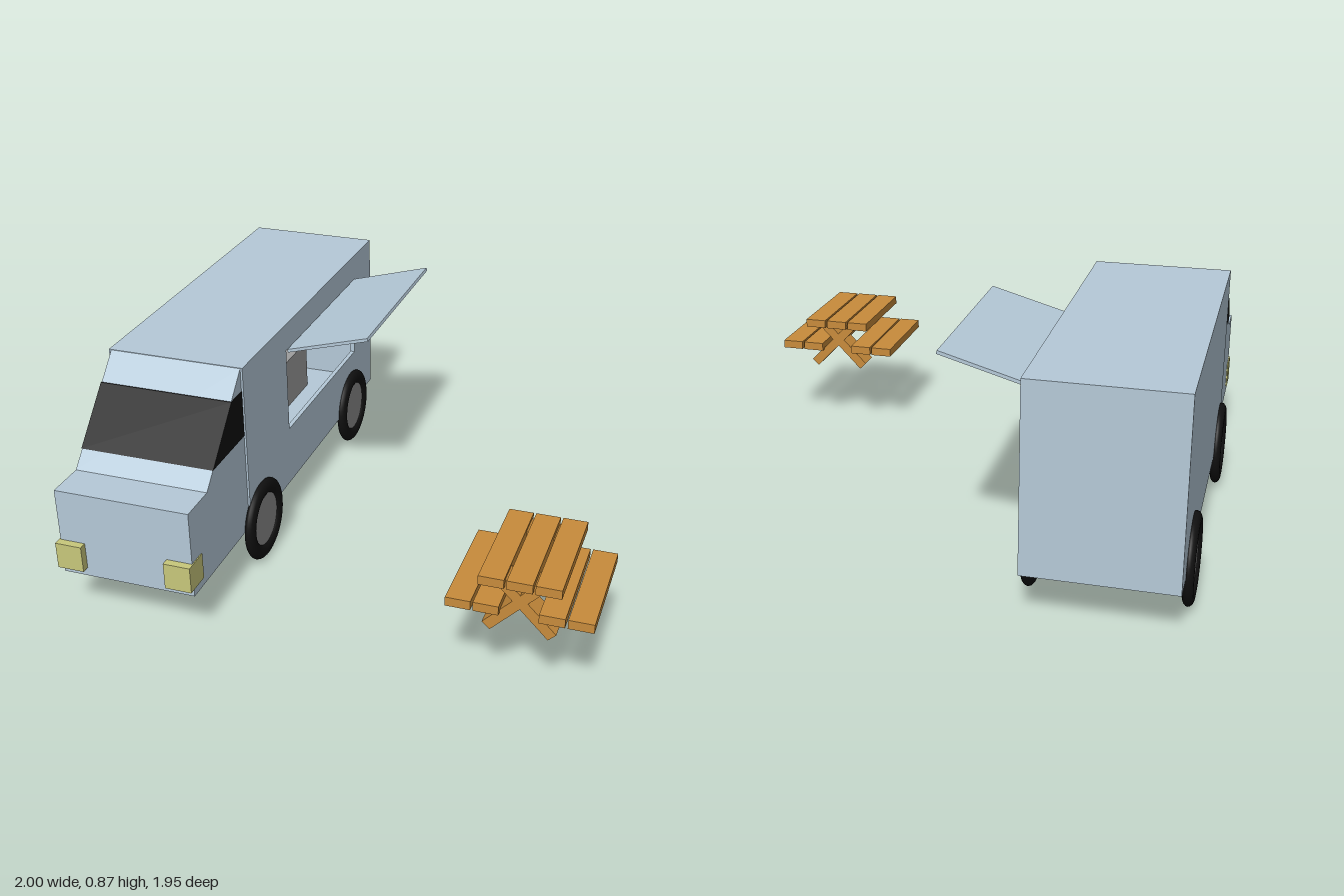
import * as THREE from 'three';

const mat = (color) => new THREE.MeshStandardMaterial({ color, flatShading: true });
const paint = mat(0xb6cad9), black = mat(0x101010), wood = mat(0xc98c3c);
const lampMat = mat(0xc9c87c), steel = mat(0x9e9e9e);
const rubber = new THREE.MeshStandardMaterial({ color: 0x101010 });
const hubMat = new THREE.MeshStandardMaterial({ color: 0x8a8a8a });

function add(parent, name, geometry, material) {
  const mesh = new THREE.Mesh(geometry, material);
  mesh.name = name;
  parent.add(mesh);
  return mesh;
}

// Box given by its limits on each axis
function box(parent, name, material, x0, x1, y0, y1, z0, z1) {
  const mesh = add(parent, name, new THREE.BoxGeometry(x1 - x0, y1 - y0, z1 - z0), material);
  mesh.position.set((x0 + x1) / 2, (y0 + y1) / 2, (z0 + z1) / 2);
  return mesh;
}

// Side profile of [z, y] points, extruded across x
function sideExtrude(parent, name, material, points, x0, x1, hole) {
  const toV = (p) => new THREE.Vector2(p[0], p[1]);
  const shape = new THREE.Shape(points.map(toV));
  if (hole) shape.holes.push(new THREE.Path(hole.map(toV)));
  const geo = new THREE.ExtrudeGeometry(shape, { depth: x1 - x0, bevelEnabled: false });
  geo.rotateY(-Math.PI / 2).translate(x1, 0, 0);
  return add(parent, name, geo, material);
}

const rect = (z0, z1, y0, y1) => [[z0, y0], [z1, y0], [z1, y1], [z0, y1]];

function buildBody() {
  const g = new THREE.Group();
  g.name = 'body';
  const L = -0.973, R = -0.427, B = -0.975, F = 0.455, lo = 0.172, hi = 0.875, t = 0.018;
  box(g, 'floor', paint, L, R, lo, lo + t, B, F);
  box(g, 'roof', paint, L, R, hi - t, hi, B, F);
  box(g, 'leftWall', paint, L, L + t, lo + t, hi - t, B, F);
  box(g, 'backWall', paint, L + t, R - t, lo + t, hi - t, B, B + t);
  box(g, 'frontWall', paint, L + t, R - t, lo + t, hi - t, F - t, F);
  // Serving side with its hatch opening
  sideExtrude(g, 'servingWall', paint, rect(B, F, lo + t, hi - t), R - t, R,
    rect(-0.75, 0.04, 0.415, 0.765));
  // Raised hatch
  const x0 = -0.422, y0 = 0.763, x1 = -0.087, y1 = 0.857;
  const awning = add(g, 'awning',
    new THREE.BoxGeometry(Math.hypot(x1 - x0, y1 - y0), 0.013, 0.79), paint);
  awning.position.set((x0 + x1) / 2, (y0 + y1) / 2, -0.358);
  awning.rotation.z = Math.atan2(y1 - y0, x1 - x0);
  return g;
}

function buildCab() {
  const g = new THREE.Group();
  g.name = 'cab';
  sideExtrude(g, 'cabShell', paint,
    [[0.455, 0.19], [0.945, 0.19], [0.945, 0.535], [0.79, 0.535], [0.455, 0.873]], -0.963, -0.435);
  // Wraparound glass, just proud of the shell
  sideExtrude(g, 'cabGlass', black,
    [[0.456, 0.595], [0.734, 0.595], [0.55, 0.781], [0.456, 0.781]], -0.965, -0.433);
  for (const x of [-0.968, -0.535]) box(g, 'headlight', lampMat, x, x + 0.104, 0.224, 0.328, 0.87, 0.975);
  return g;
}

function buildWheel(x, z) {
  const g = new THREE.Group();
  g.name = 'wheel';
  const tyre = new THREE.TorusGeometry(0.135, 0.031, 16, 48);
  tyre.scale(1, 1, 0.66).rotateY(Math.PI / 2);
  add(g, 'tyre', tyre, rubber);
  const hub = new THREE.CylinderGeometry(0.115, 0.115, 0.018, 40);
  hub.rotateZ(Math.PI / 2);
  add(g, 'hub', hub, hubMat);
  g.position.set(x, 0.168, z);
  return g;
}

function buildKitchen() {
  const g = new THREE.Group();
  g.name = 'kitchen';
  box(g, 'counter', steel, -0.955, -0.68, 0.19, 0.412, -0.79, 0.04);
  // Sauce dispensers with pumps
  [[-0.448, 0xc6b012], [-0.555, 0xc010cc], [-0.664, 0xc8921c]].forEach(([z, color]) => {
    box(g, 'dispenser', mat(color), -0.855, -0.765, 0.412, 0.477, z - 0.044, z + 0.044);
    box(g, 'dispenserLid', steel, -0.84, -0.78, 0.477, 0.492, z - 0.028, z + 0.028);
    const pump = add(g, 'pump', new THREE.CylinderGeometry(0.01, 0.006, 0.064, 12), steel);
    pump.position.set(-0.81, 0.524, z);
  });
  return g;
}

function buildTable() {
  const g = new THREE.Group();
  g.name = 'picnicTable';
  for (const x of [0.648, 0.745, 0.842]) box(g, 'topPlank', wood, x - 0.044, x + 0.044, 0.466, 0.5, 0.503, 0.942);
  for (const x of [0.538, 0.634, 0.858, 0.955])
    box(g, 'seatPlank', wood, x - 0.044, x + 0.044, 0.357, 0.391, 0.503, 0.942);
  // Crossed legs near each end
  for (const z of [0.568, 0.877])
    for (const s of [-1, 1]) {
      const leg = add(g, 'leg', new THREE.BoxGeometry(0.268, 0.038, 0.087), wood);
      leg.position.set(0.745 + s * 0.022, 0.388, z);
      leg.position.x = 0.745 - s * 0.02;
      leg.rotation.z = s * 0.8;
    }
  return g;
}

export function createModel() {
  const model = new THREE.Group();
  model.name = 'foodTruckScene';
  model.add(buildBody(), buildCab(), buildKitchen(), buildTable());
  for (const x of [-0.979, -0.421])
    for (const z of [0.345, -0.695]) model.add(buildWheel(x, z));
  return model;
}
